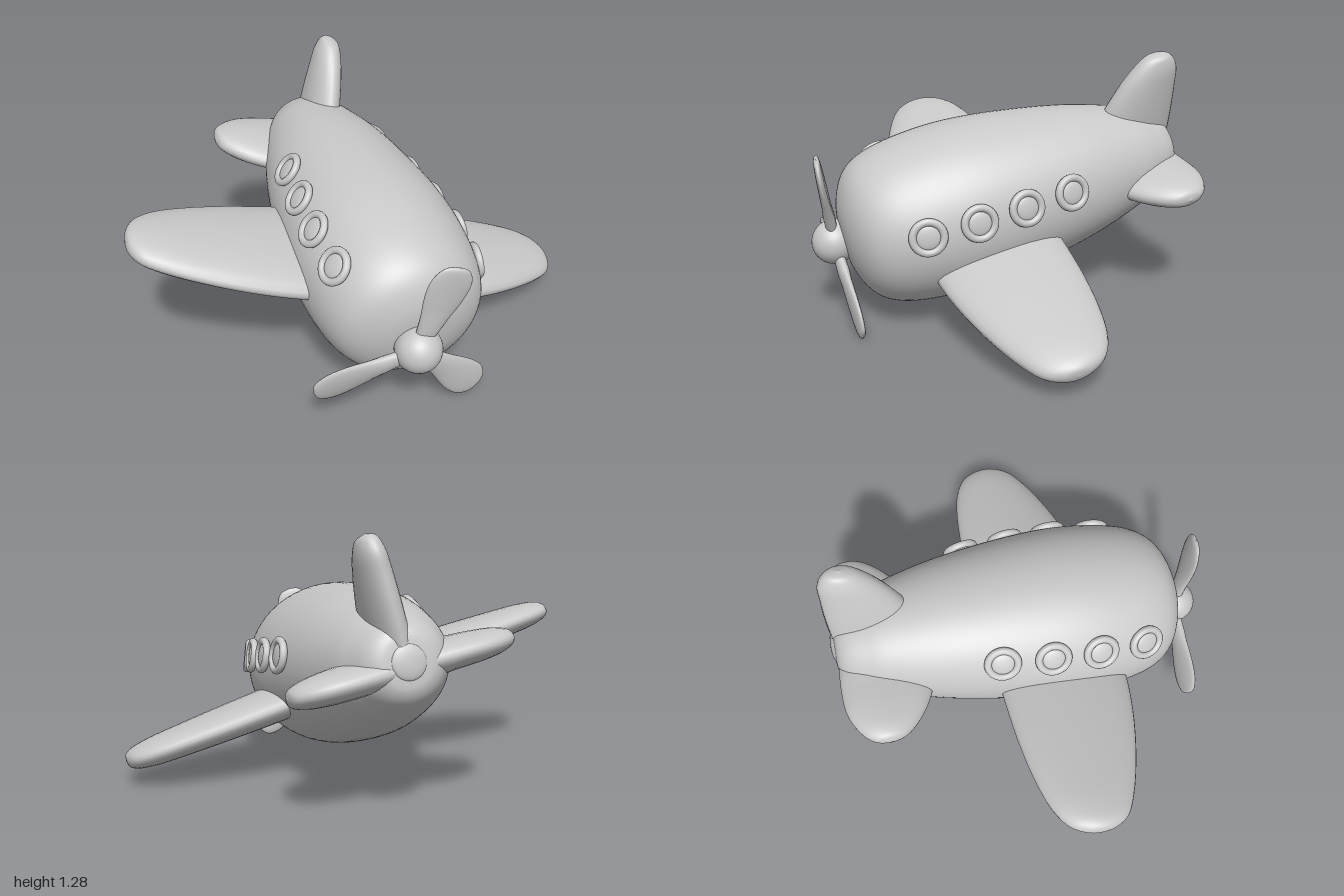
import * as THREE from 'three';

const grey = new THREE.MeshStandardMaterial({ color: 0xc8c8c8 });
grey.name = 'plain grey';

function part(name, geometry, parent) {
  const mesh = new THREE.Mesh(geometry, grey);
  mesh.name = name;
  parent.add(mesh);
  return mesh;
}

// Rounded foil along +x; each row is [span, rear z, front z, thickness]
function foil(rows, steps = 28, sides = 28) {
  const plan = new THREE.CatmullRomCurve3(rows.map(r => new THREE.Vector3(r[0], r[1], r[2])));
  const thick = new THREE.CatmullRomCurve3(rows.map(r => new THREE.Vector3(r[3], 0, 0)));
  const pos = [], index = [];
  for (let i = 0; i <= steps; i++) {
    const t = Math.sin((i / steps) * Math.PI / 2);
    const p = plan.getPoint(t), h = thick.getPoint(t).x / 2;
    for (let j = 0; j < sides; j++) {
      const a = (j / sides) * Math.PI * 2;
      pos.push(p.x, h * Math.sin(a), (p.y + p.z) / 2 + (p.z - p.y) / 2 * Math.cos(a));
      if (i === steps) continue;
      const k = (j + 1) % sides, b = i * sides, c = b + sides;
      index.push(b + j, c + j, b + k, c + j, c + k, b + k);
    }
  }
  const g = new THREE.BufferGeometry();
  g.setAttribute('position', new THREE.Float32BufferAttribute(pos, 3));
  g.setIndex(index);
  g.computeVertexNormals();
  return g;
}

export function createModel() {
  const model = new THREE.Group();
  model.name = 'toyAeroplane';
  const plane = new THREE.Group();
  plane.name = 'bankedAeroplane';
  model.add(plane);

  // Fuselage: plump teardrop turned around the flight axis
  const hull = new THREE.Group();
  hull.name = 'hull';
  hull.position.y = 0.02;
  hull.rotation.y = 0.023;
  plane.add(hull);
  const profile = new THREE.SplineCurve([
    [0.075, -1.06], [0.13, -1.05], [0.18, -1.01], [0.225, -0.93], [0.275, -0.81], [0.352, -0.53],
    [0.407, -0.2], [0.434, 0.1], [0.424, 0.35], [0.385, 0.55], [0.31, 0.67], [0.17, 0.74], [0, 0.76],
  ].map(p => new THREE.Vector2(...p))).getPoints(80);
  profile[profile.length - 1].x = 0;
  part('fuselage', new THREE.LatheGeometry(profile, 64).rotateX(Math.PI / 2), hull).scale.x = 1.03;

  // Tail cap
  const cap = part('tailCap', new THREE.SphereGeometry(0.08, 24, 16), hull);
  cap.scale.z = 0.25;
  cap.position.z = -1.056;

  // Wings and tailplanes, mirrored by a half turn about the flight axis
  const wing = [
    [0.3, -0.27, 0.41, 0.19], [0.5, -0.265, 0.39, 0.185], [0.7, -0.255, 0.35, 0.175],
    [0.9, -0.23, 0.29, 0.16], [1.06, -0.19, 0.225, 0.145], [1.16, -0.13, 0.165, 0.115],
    [1.205, -0.05, 0.09, 0.07], [1.215, 0.02, 0.02, 0],
  ];
  const tailplane = [
    [0.05, -1.05, -0.56, 0.16], [0.2, -1.07, -0.59, 0.16], [0.35, -1.07, -0.65, 0.15],
    [0.46, -1.03, -0.73, 0.125], [0.525, -0.97, -0.81, 0.08], [0.545, -0.89, -0.89, 0],
  ];
  const tail = new THREE.Group();
  tail.name = 'tailplanes';
  tail.position.set(-0.04, -0.01, -0.85);
  tail.rotation.set(0, 0.065, 0.06);
  plane.add(tail);
  for (const [side, turn, droop] of [['left', 0, -0.03], ['right', Math.PI, 0]]) {
    part(side + 'Wing', foil(wing).rotateZ(turn + droop), plane).position.y = -0.065;
    part(side + 'Tailplane', foil(tailplane).translate(0, 0, 0.85).rotateZ(turn), tail);
  }

  // Upright fin
  part('fin', foil([
    [0.05, -1.06, -0.56, 0.18], [0.25, -1.09, -0.66, 0.175], [0.4, -1.105, -0.76, 0.16],
    [0.5, -1.11, -0.845, 0.14], [0.57, -1.075, -0.93, 0.095], [0.59, -1.01, -1.01, 0],
  ]).rotateZ(Math.PI / 2), plane).position.x = -0.022;

  // Portholes: [z, fuselage radius, forward lean]
  for (const side of [1, -1]) {
    for (const [z, r, lean] of [[-0.31, 0.395, -0.16], [-0.06, 0.424, -0.09], [0.185, 0.436, 0], [0.434, 0.416, 0.14]]) {
      const porthole = new THREE.Group();
      porthole.name = side > 0 ? 'leftPorthole' : 'rightPorthole';
      const out = new THREE.Vector3(side * Math.cos(0.41), Math.sin(0.41), lean);
      porthole.position.set(out.x * (r + 0.012) * 1.02, out.y * (r + 0.012), z - side * 0.018);
      porthole.lookAt(porthole.position.clone().add(out));
      part('portholeRim', new THREE.TorusGeometry(0.074, 0.019, 12, 36), porthole);
      part('portholeGlass', new THREE.SphereGeometry(0.06, 20, 14), porthole).scale.z = 0.25;
      hull.add(porthole);
    }
  }

  // Propeller
  const propeller = new THREE.Group();
  propeller.name = 'propeller';
  propeller.position.set(-0.015, -0.01, 0.795);
  plane.add(propeller);
  part('spinner', new THREE.SphereGeometry(0.113, 32, 24), propeller);
  const upright = new THREE.Matrix4().makeBasis(
    new THREE.Vector3(0, 1, 0), new THREE.Vector3(0, 0, 1), new THREE.Vector3(1, 0, 0));
  for (let i = 0; i < 3; i++) {
    part('blade', foil([
      [0.05, -0.04, 0.04, 0.05], [0.2, -0.066, 0.066, 0.05], [0.34, -0.097, 0.097, 0.045],
      [0.43, -0.097, 0.097, 0.04], [0.492, -0.062, 0.062, 0.03], [0.51, 0, 0, 0],
    ], 20, 20).rotateX(-0.12).applyMatrix4(upright).rotateZ(i * Math.PI * 2 / 3), propeller).position.y = -0.013;
  }

  // Flight attitude: nose to the front left, dipping, banked
  const nose = new THREE.Vector3(0.657, -0.171, 0.736).normalize();
  const up = nose.clone().cross(new THREE.Vector3(0.685, -0.267, -0.677)).normalize();
  const left = up.clone().cross(nose);
  plane.quaternion.setFromRotationMatrix(new THREE.Matrix4().makeBasis(left, up, nose));
  plane.position.set(0.058, 0.555, 0.085);
  return model;
}
